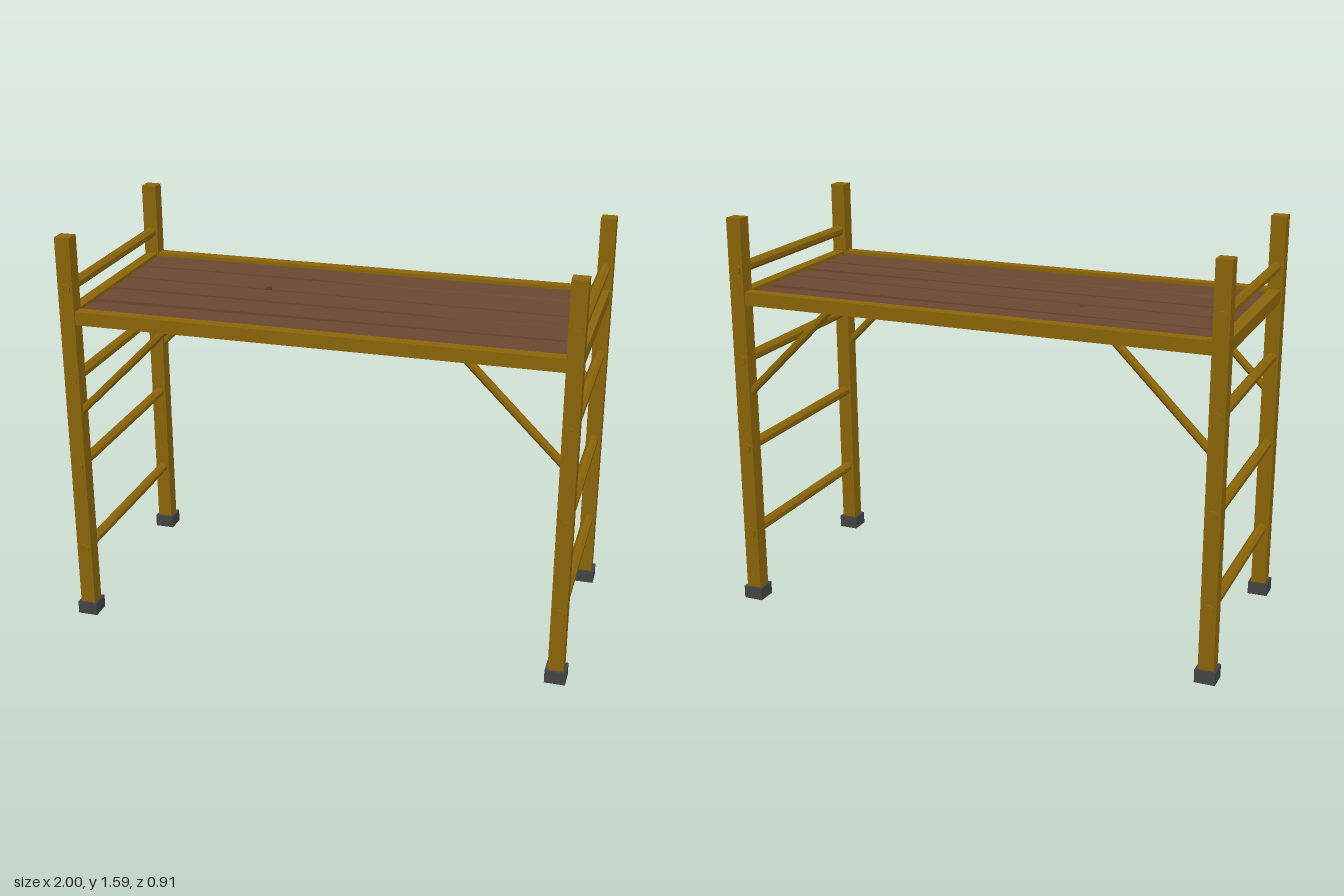
import * as THREE from 'three';

const wood = new THREE.MeshStandardMaterial({ color: 0x8b6508 });
wood.name = 'golden wood';
const deckBrown = new THREE.MeshStandardMaterial({ color: 0x6b4732 });
deckBrown.name = 'deck brown';
const rubber = new THREE.MeshStandardMaterial({ color: 0x444444 });
rubber.name = 'dark rubber';

const POST_X = 0.96, POST_Z = 0.415, POST_TOP = 1.59;
const DECK_TOP = 1.287, DECK_THICK = 0.024, DECK_X = 0.94;

function add(parent, name, geometry, material, x = 0, y = 0, z = 0) {
  const mesh = new THREE.Mesh(geometry, material);
  mesh.name = name;
  mesh.position.set(x, y, z);
  parent.add(mesh);
  return mesh;
}

// Faceted round bar between two points
function bar(parent, name, a, b, radius) {
  const dir = b.clone().sub(a);
  const geo = new THREE.CylinderGeometry(radius, radius, dir.length(), 8).toNonIndexed();
  geo.rotateY(Math.PI / 8);
  geo.computeVertexNormals();
  const mesh = add(parent, name, geo, wood);
  mesh.position.copy(a).add(b).multiplyScalar(0.5);
  mesh.quaternion.setFromUnitVectors(new THREE.Vector3(0, 1, 0), dir.normalize());
}

// Uneven board: outline points are [x, z, optional z at the top face]
function plankGeometry(points) {
  const shape = new THREE.Shape(points.map(([x, z]) => new THREE.Vector2(x, z)));
  const geo = new THREE.ExtrudeGeometry(shape, { depth: DECK_THICK, bevelEnabled: false });
  geo.rotateX(Math.PI / 2);
  const pos = geo.attributes.position;
  for (let i = 0; i < pos.count; i++) {
    if (pos.getY(i) < -DECK_THICK / 2) continue;
    const p = points.find(([x, z]) =>
      Math.abs(x - pos.getX(i)) < 1e-4 && Math.abs(z - pos.getZ(i)) < 1e-4);
    if (p && p.length > 2) pos.setZ(i, p[2]);
  }
  geo.computeVertexNormals();
  return geo;
}

export function createModel() {
  const model = new THREE.Group();
  model.name = 'scaffold';

  // Corner posts, feet and diagonal braces
  for (const sx of [-1, 1]) {
    for (const sz of [-1, 1]) {
      add(model, 'post', new THREE.BoxGeometry(0.06, POST_TOP - 0.02, 0.06), wood,
        sx * POST_X, (POST_TOP + 0.02) / 2, sz * POST_Z);
      add(model, 'foot', new THREE.BoxGeometry(0.08, 0.052, 0.08), rubber,
        sx * POST_X, 0.026, sz * POST_Z);
      bar(model, 'brace',
        new THREE.Vector3(sx * 0.945, 0.883, sz * POST_Z),
        new THREE.Vector3(sx * 0.563, 1.265, sz * POST_Z), 0.016);
    }
    // Ladder rungs pass through the posts
    for (const y of [0.295, 0.66, 1.025, 1.39]) {
      bar(model, 'rung',
        new THREE.Vector3(sx * POST_X, y, -0.452),
        new THREE.Vector3(sx * POST_X, y, 0.452), 0.022);
    }
    add(model, 'endRail', new THREE.BoxGeometry(0.047, 0.052, 0.79), wood, sx * POST_X, 1.275, 0);
  }

  // Long rails
  for (const sz of [-1, 1]) {
    add(model, 'sideRail', new THREE.BoxGeometry(1.88, 0.052, 0.047), wood, 0, 1.275, sz * POST_Z);
  }

  // Deck planks with worn, slightly skewed edges
  const X = DECK_X;
  const planks = [
    [[-X, -0.393], [X, -0.393], [X, -0.254, -0.273], [-0.15, -0.249], [-X, -0.243]],
    [[-X, -0.232], [X, -0.232], [X, -0.065], [-0.315, -0.074], [-0.335, -0.122], [-0.353, -0.074], [-X, -0.082]],
    [[-X, -0.071], [X, -0.054], [X, 0.067, 0.049], [0.35, 0.067], [-X, 0.067]],
    [[-X, 0.083], [X, 0.083], [X, 0.209], [-X, 0.223]],
    [[-X, 0.236, 0.26], [0.4, 0.229], [X, 0.225], [X, 0.393], [-X, 0.393]],
  ];
  for (const outline of planks) {
    add(model, 'plank', plankGeometry(outline), deckBrown, 0, DECK_TOP, 0);
  }

  return model;
}
